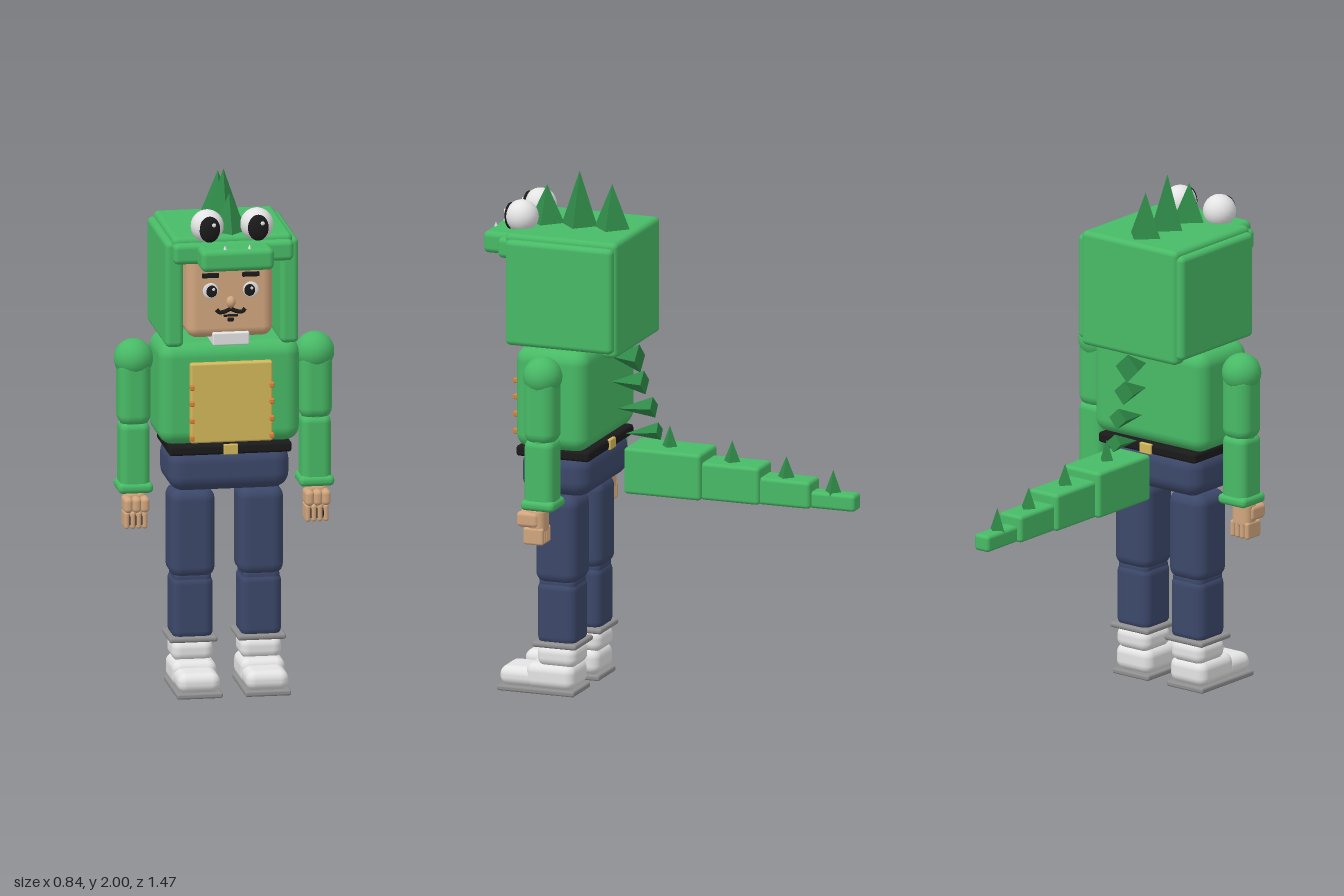
import * as THREE from 'three';
import { RoundedBoxGeometry } from 'three/addons/geometries/RoundedBoxGeometry.js';

const mat = (name, color) => {
  const m = new THREE.MeshStandardMaterial({ color });
  m.name = name;
  return m;
};

export function createModel() {
  const green = mat('green', 0x48ba66), darkGreen = mat('dark green', 0x2f8a48);
  const yellow = mat('yellow', 0xd3b85a), skin = mat('skin', 0xd2a67e);
  const navy = mat('navy', 0x3c486a), white = mat('white', 0xe4e4e4);
  const black = mat('black', 0x1a1a1a), grey = mat('grey', 0x8f8f8f);
  const orange = mat('orange', 0xd9823a);

  const root = new THREE.Group();
  root.name = 'costumedFigure';
  const group = (name, parent = root) => {
    const g = new THREE.Group();
    g.name = name;
    parent.add(g);
    return g;
  };
  const add = (parent, name, geo, m, x = 0, y = 0, z = 0) => {
    const mesh = new THREE.Mesh(geo, m);
    mesh.name = name;
    mesh.position.set(x, y, z);
    parent.add(mesh);
    return mesh;
  };
  // rounded box given by its extents on each axis
  const box = (parent, name, m, [x0, x1], [y0, y1], [z0, z1], r = 0.015) => {
    const w = x1 - x0, h = y1 - y0, d = z1 - z0;
    const geo = new RoundedBoxGeometry(w, h, d, 3, Math.min(r, Math.min(w, h, d) * 0.49));
    return add(parent, name, geo, m, (x0 + x1) / 2, (y0 + y1) / 2, (z0 + z1) / 2);
  };
  const mid = (c, half) => [c - half, c + half];
  const ball = (parent, name, m, r, x, y, z, sx = 1, sy = 1, sz = 1) => {
    const b = add(parent, name, new THREE.SphereGeometry(r, 20, 14), m, x, y, z);
    b.scale.set(sx, sy, sz);
    return b;
  };
  // flat four-sided spike standing on its base
  const spike = (parent, name, r, h, x, y, z, m = darkGreen) => {
    const geo = new THREE.ConeGeometry(r, h, 4).toNonIndexed();
    geo.computeVertexNormals();
    return add(parent, name, geo, m, x, y + h / 2, z);
  };

  // Hood
  const hood = group('hood');
  box(hood, 'hoodTop', green, mid(0, 0.23), [1.7, 1.79], [0.16, 0.61], 0.02);
  box(hood, 'hoodBack', green, mid(0, 0.23), [1.34, 1.79], [0.155, 0.22], 0.02);
  box(hood, 'hoodBrim', green, mid(0, 0.23), [1.69, 1.77], [0.57, 0.64], 0.02);
  box(hood, 'snout', green, mid(0, 0.14), [1.68, 1.765], [0.58, 0.735], 0.022);
  for (const s of [-1, 1]) {
    const side = box(hood, 'hoodSide', green, mid(0, 0.035), [1.36, 1.77], [0.165, 0.6], 0.02);
    side.position.x = s * 0.22;
    ball(hood, 'hoodEye', white, 0.063, s * 0.095, 1.828, 0.59);
    ball(hood, 'hoodPupil', black, 0.042, s * 0.093, 1.825, 0.638, 0.95, 1.2, 0.45);
    ball(hood, 'hoodEyeGlint', white, 0.008, s * 0.093 + 0.014, 1.845, 0.655, 1, 1, 0.5);
    spike(hood, 'snoutTooth', 0.01, 0.025, s * 0.047, 1.757, 0.715, white);
  }
  for (const [z, top] of [[0.526, 1.935], [0.394, 2], [0.262, 1.96]])
    spike(hood, 'headSpike', 0.075, top - 1.78, 0, 1.78, z);

  // Head and face
  const head = group('head');
  box(head, 'face', skin, mid(0, 0.165), [1.38, 1.72], [0.22, 0.56], 0.04);
  add(head, 'neck', new THREE.CylinderGeometry(0.08, 0.08, 0.08, 20), skin, 0, 1.37, 0.41);
  box(head, 'collar', white, mid(0, 0.07), [1.355, 1.405], [0.44, 0.575], 0.006);
  ball(head, 'nose', skin, 0.02, 0, 1.522, 0.565, 0.9, 1.1, 1);
  box(head, 'mouth', black, mid(0, 0.028), [1.464, 1.473], [0.556, 0.565], 0.003);
  box(head, 'goatee', black, mid(0, 0.012), [1.445, 1.46], [0.556, 0.565], 0.004);
  for (const s of [-1, 1]) {
    box(head, 'eyebrow', black, mid(s * 0.077, 0.033), [1.617, 1.636], [0.557, 0.566], 0.004);
    ball(head, 'eye', white, 0.03, s * 0.077, 1.567, 0.56, 1, 1, 0.15);
    ball(head, 'pupil', black, 0.021, s * 0.073, 1.565, 0.563, 1, 1.1, 0.2);
    ball(head, 'eyeGlint', white, 0.006, s * 0.073 + 0.007, 1.573, 0.567, 1, 1, 0.3);
    const curl = new THREE.CatmullRomCurve3([
      new THREE.Vector3(0, 1.495, 0.562), new THREE.Vector3(s * 0.025, 1.484, 0.562),
      new THREE.Vector3(s * 0.045, 1.483, 0.562), new THREE.Vector3(s * 0.055, 1.495, 0.562)]);
    add(head, 'moustache', new THREE.TubeGeometry(curl, 10, 0.008, 8), black);
  }

  // Torso, belly plate, belt and hips
  const body = group('body');
  box(body, 'torso', green, mid(0, 0.27), [0.965, 1.36], [0.265, 0.56], 0.055);
  box(body, 'bellyPlate', yellow, mid(0, 0.157), [0.98, 1.29], [0.55, 0.585], 0.008);
  for (const s of [-1, 1])
    for (const y of [1.2, 1.137, 1.07, 1.003])
      box(body, 'button', orange, mid(s * 0.153, 0.009), mid(y, 0.01), [0.58, 0.602], 0.005);
  box(body, 'belt', black, mid(0, 0.235), [0.927, 0.968], [0.265, 0.562], 0.012);
  for (const z of [0.265, 0.562])
    box(body, 'buckle', yellow, mid(0, 0.028), [0.928, 0.968], mid(z, 0.008), 0.004);
  box(body, 'hips', navy, mid(0, 0.232), [0.78, 0.95], [0.272, 0.553], 0.06);

  // Spikes along the back, points set towards the body: y, z, radius, length, tilt
  for (const [y, z, r, h, tilt] of [[1.29, 0.15, 0.055, 0.115, -0.04], [1.198, 0.13, 0.046, 0.135, -0.07],
    [1.105, 0.092, 0.04, 0.15, -0.13], [1.014, 0.07, 0.034, 0.14, -0.16]]) {
    const g = group('backSpike', body);
    g.position.set(0, y, z);
    g.rotation.x = Math.PI / 2 - tilt;
    spike(g, 'spike', r, h, 0, 0, 0);
  }

  // Tail
  const tail = group('tail');
  for (const [hw, top, z0, z1, sz, sTop, r] of [
    [0.09, 0.96, -0.13, 0.182, 0.028, 1.04, 0.034], [0.07, 0.925, -0.36, -0.12, -0.225, 1.005, 0.037],
    [0.055, 0.885, -0.56, -0.35, -0.445, 0.965, 0.038], [0.035, 0.845, -0.735, -0.55, -0.635, 0.93, 0.036]]) {
    box(tail, 'tailSegment', green, mid(0, hw), [0.78, top], [z0, z1], 0.014);
    spike(tail, 'tailSpike', r, sTop - top + 0.01, 0, top - 0.01, sz);
  }

  // Limbs
  for (const s of [-1, 1]) {
    const side = s > 0 ? 'left' : 'right';

    const arm = group(side + 'Arm');
    const ax = s * 0.347, az = 0.408;
    ball(arm, 'shoulder', green, 0.075, ax, 1.28, az);
    box(arm, 'upperArm', green, mid(ax, 0.063), [1.02, 1.29], mid(az, 0.063), 0.045);
    add(arm, 'elbow', new THREE.CylinderGeometry(0.052, 0.052, 0.06, 20), green, ax, 1.025, az);
    box(arm, 'forearm', green, mid(ax, 0.057), [0.77, 1.04], mid(az, 0.06), 0.03);
    box(arm, 'cuff', green, mid(ax, 0.067), [0.765, 0.805], mid(az, 0.068), 0.018);

    // fist with knuckles above curled fingers
    const hand = group('hand', arm);
    box(hand, 'palm', skin, mid(ax, 0.042), [0.665, 0.775], [0.39, 0.46], 0.025);
    box(hand, 'fingerGaps', black, mid(ax, 0.036), [0.64, 0.68], [0.4, 0.466], 0.01);
    for (let i = -1; i <= 1; i++)
      box(hand, 'knuckle', skin, mid(ax + i * 0.032, 0.017), [0.695, 0.755], [0.41, 0.498], 0.016);
    for (let i = 0; i < 4; i++)
      box(hand, 'finger', skin, mid(ax + (i - 1.5) * 0.023, 0.01), [0.628, 0.695], [0.39, 0.472], 0.01);

    const leg = group(side + 'Leg');
    const lx = s * 0.131, lz = 0.412;
    box(leg, 'thigh', navy, mid(lx, 0.087), [0.43, 0.778], mid(lz, 0.087), 0.045);
    box(leg, 'knee', navy, mid(lx, 0.072), [0.4, 0.46], mid(lz, 0.074), 0.025);
    box(leg, 'shin', navy, mid(lx, 0.079), [0.19, 0.442], mid(lz, 0.08), 0.035);
    box(leg, 'ankleRim', grey, mid(lx, 0.093), [0.184, 0.206], mid(lz, 0.09), 0.01);
    box(leg, 'ankle', white, mid(lx, 0.079), [0.105, 0.192], mid(lz, 0.08), 0.035);
    box(leg, 'shoeHeel', white, mid(lx, 0.086), [0.018, 0.118], [0.337, 0.535], 0.035);
    box(leg, 'shoeToe', white, mid(lx, 0.082), [0.018, 0.095], [0.49, 0.643], 0.035);
    box(leg, 'sole', grey, mid(lx, 0.088), [0, 0.022], [0.332, 0.646], 0.008);
  }
  return root;
}
